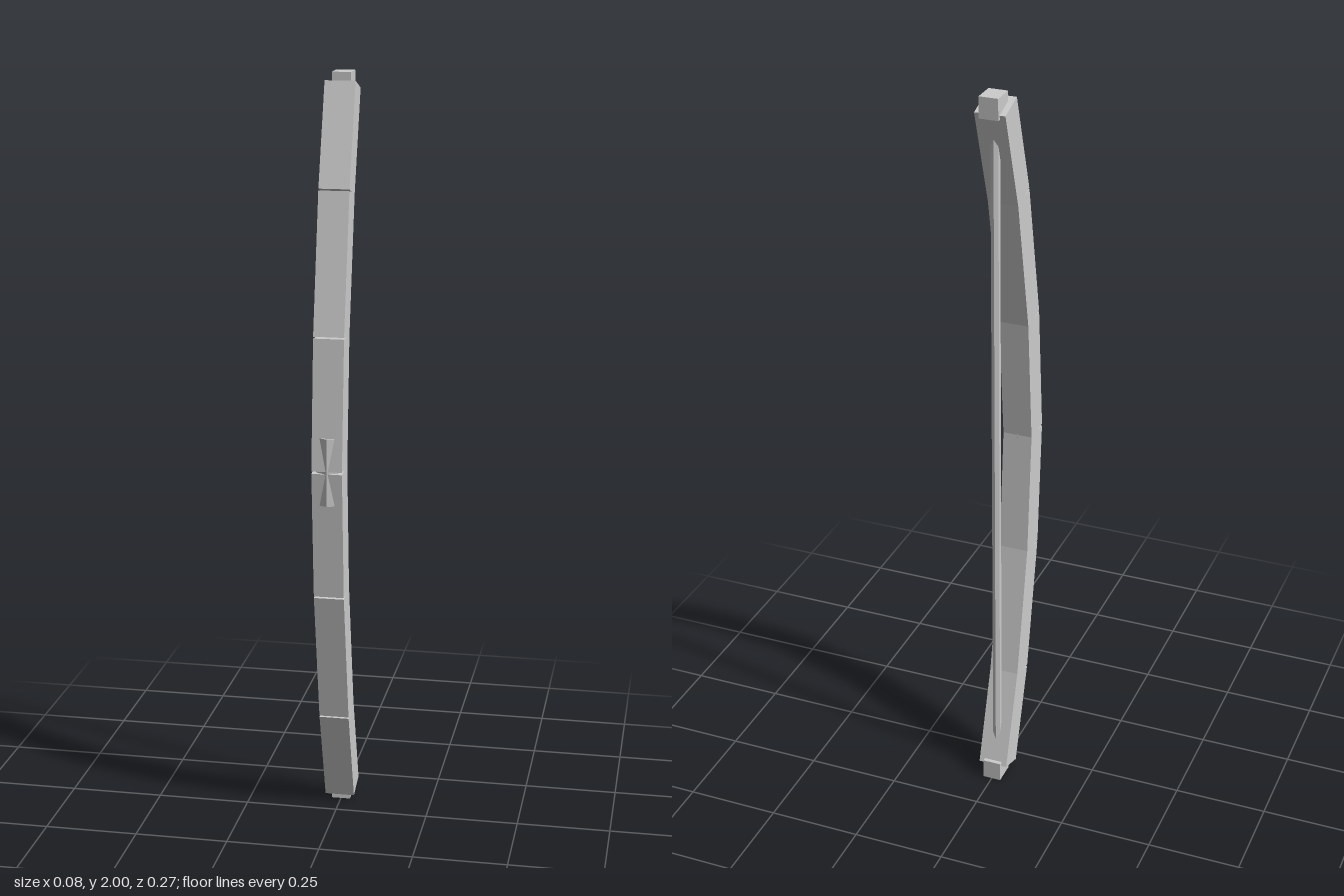
import * as THREE from 'three';

export function createModel() {
  const bow = new THREE.Group();
  bow.name = 'bow';
  const grey = new THREE.MeshStandardMaterial({ color: 0xcccccc, flatShading: true });
  grey.name = 'light grey';

  const add = (name, geometry, y, z) => {
    const mesh = new THREE.Mesh(geometry, grey);
    mesh.name = name;
    mesh.position.set(0, y, z);
    bow.add(mesh);
    return mesh;
  };

  // Centre line of the upper limb as [height above the grip, z]
  const line = [[0, 0.094], [0.343, 0.066], [0.705, -0.0075], [0.968, -0.093]];

  for (const side of [1, -1]) {
    const half = side > 0 ? 'upper' : 'lower';

    // Straight limb segments, butted on the centre line with open wedges outside
    for (let i = 0; i < line.length - 1; i++) {
      const [y0, z0] = line[i];
      const [y1, z1] = line[i + 1];
      const length = Math.hypot(y1 - y0, z1 - z0);
      const segment = add(`${half}Limb${i + 1}`, new THREE.BoxGeometry(0.08, length, 0.078),
        1 + side * (y0 + y1) / 2, (z0 + z1) / 2);
      segment.rotation.x = side * Math.atan2(z1 - z0, y1 - y0);
    }

    // String nock block at the tip
    add(`${half}Nock`, new THREE.BoxGeometry(0.05, 0.055, 0.063), 1 + side * 0.9725, -0.1065);
  }

  // Eight-sided grip, mostly sunk into the limbs
  add('grip', new THREE.CylinderGeometry(0.04, 0.04, 0.18, 8), 1, 0.094);

  // Bowstring
  add('string', new THREE.CylinderGeometry(0.012, 0.012, 1.92, 6), 1, -0.095);

  return bow;
}
